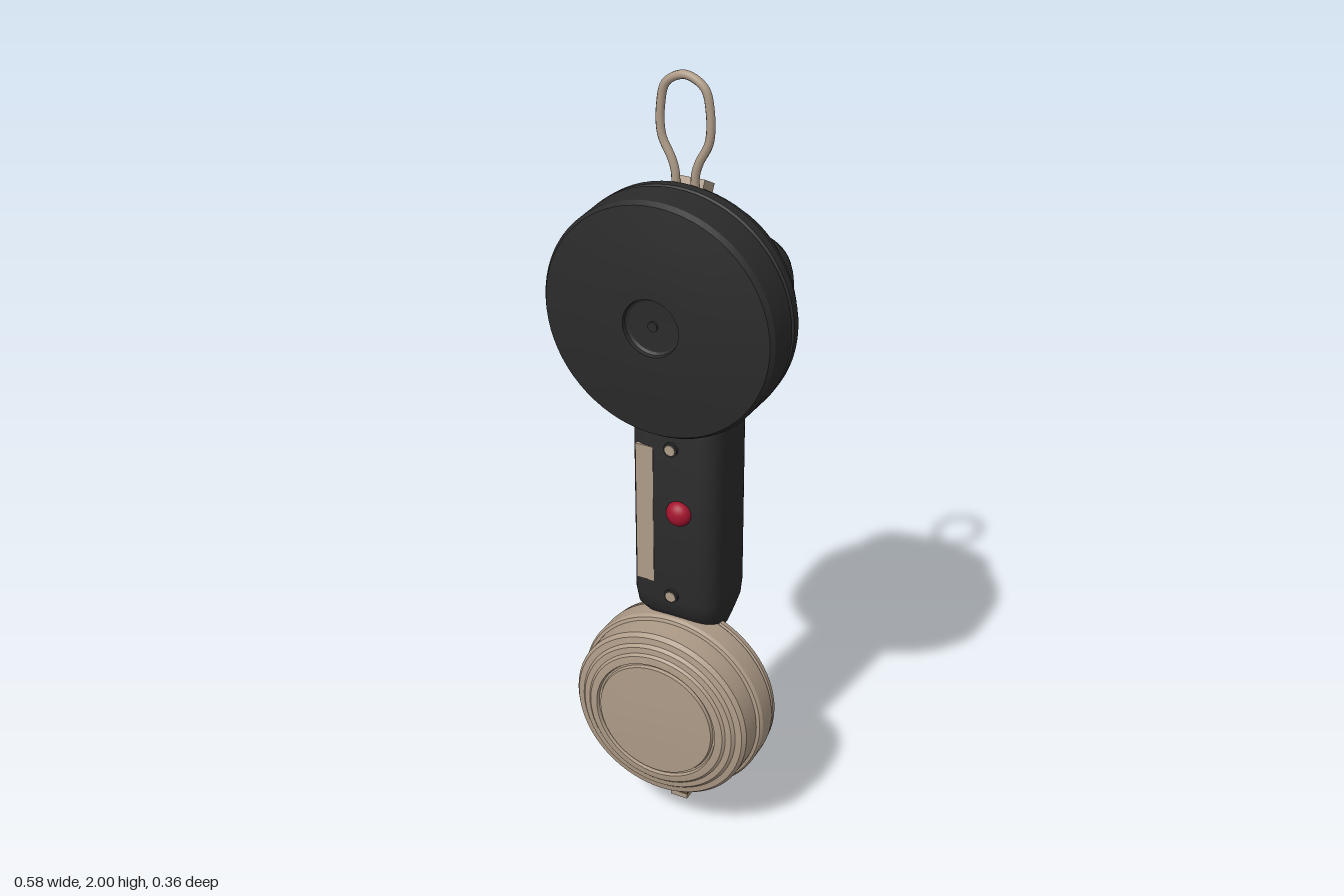
import * as THREE from 'three';
import { toCreasedNormals } from 'three/addons/utils/BufferGeometryUtils.js';

const material = (name, color) => {
  const m = new THREE.MeshStandardMaterial({ color });
  m.name = name;
  return m;
};

// Turned part: profile of [radius, z], running from back to front
function turned(profile) {
  const g = new THREE.LatheGeometry(profile.map(([r, z]) => new THREE.Vector2(r, z)), 72);
  g.rotateX(Math.PI / 2);
  return toCreasedNormals(g, 0.5);
}

// Superellipse sections [height, half width, z min, z max] joined along y
function loft(sections, power, crease) {
  const n = 56, pos = [], index = [];
  const curve = v => Math.sign(v) * Math.abs(v) ** (2 / power);
  const first = sections[0], last = sections[sections.length - 1];
  const closed = s => [s[0], 0, (s[2] + s[3]) / 2, (s[2] + s[3]) / 2];
  const rows = [closed(first), ...sections, closed(last)];
  rows.forEach(([y, hw, z0, z1], i) => {
    for (let j = 0; j < n; j++) {
      const a = j / n * Math.PI * 2;
      pos.push(hw * curve(Math.cos(a)), y, (z0 + z1) / 2 + (z1 - z0) / 2 * curve(Math.sin(a)));
      if (i === rows.length - 1) continue;
      const p = i * n + j, q = i * n + (j + 1) % n;
      if (i > 0) index.push(p, p + n, q);
      if (i < rows.length - 2) index.push(q, p + n, q + n);
    }
  });
  const g = new THREE.BufferGeometry();
  g.setAttribute('position', new THREE.Float32BufferAttribute(pos, 3));
  g.setIndex(index);
  return toCreasedNormals(g, crease);
}

export function createModel() {
  const black = material('black plastic', 0x2b2b2b);
  const tan = material('tan', 0xae9b87);
  const red = material('red button', 0xa3142e);
  const brown = material('brown cord', 0x5e4430);
  const model = new THREE.Group();
  model.name = 'handset';

  const add = (name, geometry, mat, x = 0, y = 0, z = 0) => {
    const mesh = new THREE.Mesh(geometry, mat);
    mesh.name = name;
    mesh.position.set(x, y, z);
    model.add(mesh);
    return mesh;
  };
  // Short cylinder whose axis runs front to back
  const peg = (name, r, depth, mat, x, y, z) =>
    add(name, new THREE.CylinderGeometry(r, r, depth, 20).rotateX(Math.PI / 2), mat, x, y, z);

  // Upper disc, stepped at the back with a small dished centre in front
  add('earpiece', turned([
    [0, -0.1], [0.19, -0.1], [0.205, -0.09], [0.222, -0.083], [0.227, -0.04], [0.25, -0.022],
    [0.272, -0.005], [0.276, 0.018], [0.288, 0.026], [0.29, 0.052], [0.282, 0.056], [0.282, 0.06],
    [0.29, 0.064], [0.288, 0.145], [0.28, 0.157], [0.2, 0.17], [0.1, 0.181], [0.07, 0.181],
    [0.068, 0.172], [0.062, 0.168], [0.02, 0.166], [0, 0.166],
  ]), black, 0, 1.46);
  peg('earpieceScrew', 0.012, 0.008, black, 0, 1.46, 0.168);

  // Rounded pod on the back of the earpiece
  const pod = loft([
    [0.08, 0.2, -0.13, 0.13], [0.1, 0.209, -0.142, 0.142], [0.13, 0.206, -0.14, 0.14],
    [0.15, 0.195, -0.132, 0.132], [0.165, 0.172, -0.118, 0.118], [0.176, 0.135, -0.092, 0.092],
    [0.182, 0.08, -0.055, 0.055],
  ], 3, 0.6);
  add('backPod', pod.rotateX(-Math.PI / 2), black, 0, 1.46);
  const podDot = add('podDot', new THREE.SphereGeometry(0.012, 14, 10), black, 0, 1.594, -0.143);
  podDot.scale.y = 0.6;

  // Handle, tapering at both ends
  add('handle', loft([
    [0.52, 0.055, -0.07, -0.01], [0.56, 0.085, -0.085, 0.01], [0.6, 0.1, -0.1, 0.05],
    [0.64, 0.113, -0.115, 0.085], [0.68, 0.117, -0.118, 0.093], [1.15, 0.117, -0.118, 0.093],
    [1.19, 0.115, -0.117, 0.082], [1.25, 0.11, -0.112, 0.02], [1.29, 0.095, -0.1, 0],
    [1.34, 0.06, -0.09, 0],
  ], 4, 0.7), black);

  // Handle controls
  add('labelStrip', new THREE.BoxGeometry(0.046, 0.375, 0.009), tan, -0.067, 0.915, 0.089);
  for (const y of [0.7, 1.11]) {
    peg('screwSeat', 0.018, 0.014, black, 0.005, y, 0.093);
    peg('screw', 0.013, 0.006, tan, 0.005, y, 0.099);
  }
  const button = add('button', new THREE.SphereGeometry(0.032, 28, 18), red, 0.025, 0.94, 0.094);
  button.scale.z = 0.8;
  peg('backStud', 0.023, 0.016, black, 0, 1.21, -0.115);
  peg('backStudSmall', 0.012, 0.008, black, 0, 1.14, -0.118);

  // Lower disc with stepped rings and a raised centre
  add('mouthpiece', turned([
    [0, -0.004], [0.235, -0.004], [0.245, 0.002], [0.247, 0.016], [0.242, 0.019], [0.242, 0.023],
    [0.249, 0.027], [0.25, 0.08], [0.245, 0.088], [0.237, 0.091], [0.236, 0.145], [0.228, 0.156],
    [0.212, 0.159], [0.205, 0.167], [0.19, 0.169], [0.184, 0.175], [0.165, 0.178], [0.162, 0.17],
    [0.157, 0.17], [0.154, 0.178], [0.08, 0.182], [0, 0.182],
  ]), tan, 0, 0.375);
  for (const s of [-1, 1]) peg('mouthpieceRivet', 0.008, 0.004, brown, s * 0.19, 0.4, -0.004);

  // Hanging loop of wire and its clip
  const side = [[0.024, 1.71], [0.025, 1.765], [0.034, 1.795], [0.058, 1.845], [0.06, 1.915], [0.046, 1.967]];
  const wire = [
    ...side.map(([x, y]) => new THREE.Vector3(-x, y, 0)),
    new THREE.Vector3(0, 1.99, 0),
    ...side.slice().reverse().map(([x, y]) => new THREE.Vector3(x, y, 0)),
  ];
  add('hangingLoop', new THREE.TubeGeometry(new THREE.CatmullRomCurve3(wire), 80, 0.01, 10), tan, 0, 0, 0.01);
  const clip = add('loopClip', new THREE.BoxGeometry(0.078, 0.05, 0.055), tan, 0, 1.715, -0.02);
  clip.rotation.x = -0.5;

  // Bent flat cord hanging from the handle, with tan ends
  const bends = [[0, 0.54, -0.035], [-0.004, 0.36, -0.055], [-0.02, 0.015, -0.012]]
    .map(p => new THREE.Vector3(...p));
  for (let i = 0; i < 2; i++) {
    const a = bends[i], b = bends[i + 1], dir = b.clone().sub(a);
    const cord = add('cord', new THREE.BoxGeometry(0.046, dir.length() + 0.008, 0.036), brown);
    cord.position.copy(a).add(b).multiplyScalar(0.5);
    cord.quaternion.setFromUnitVectors(new THREE.Vector3(0, -1, 0), dir.normalize());
  }
  add('cordSocket', new THREE.BoxGeometry(0.058, 0.05, 0.048), tan, 0, 0.525, -0.037);
  add('cordTip', new THREE.BoxGeometry(0.047, 0.014, 0.038), tan, -0.021, 0.007, -0.011);

  return model;
}
